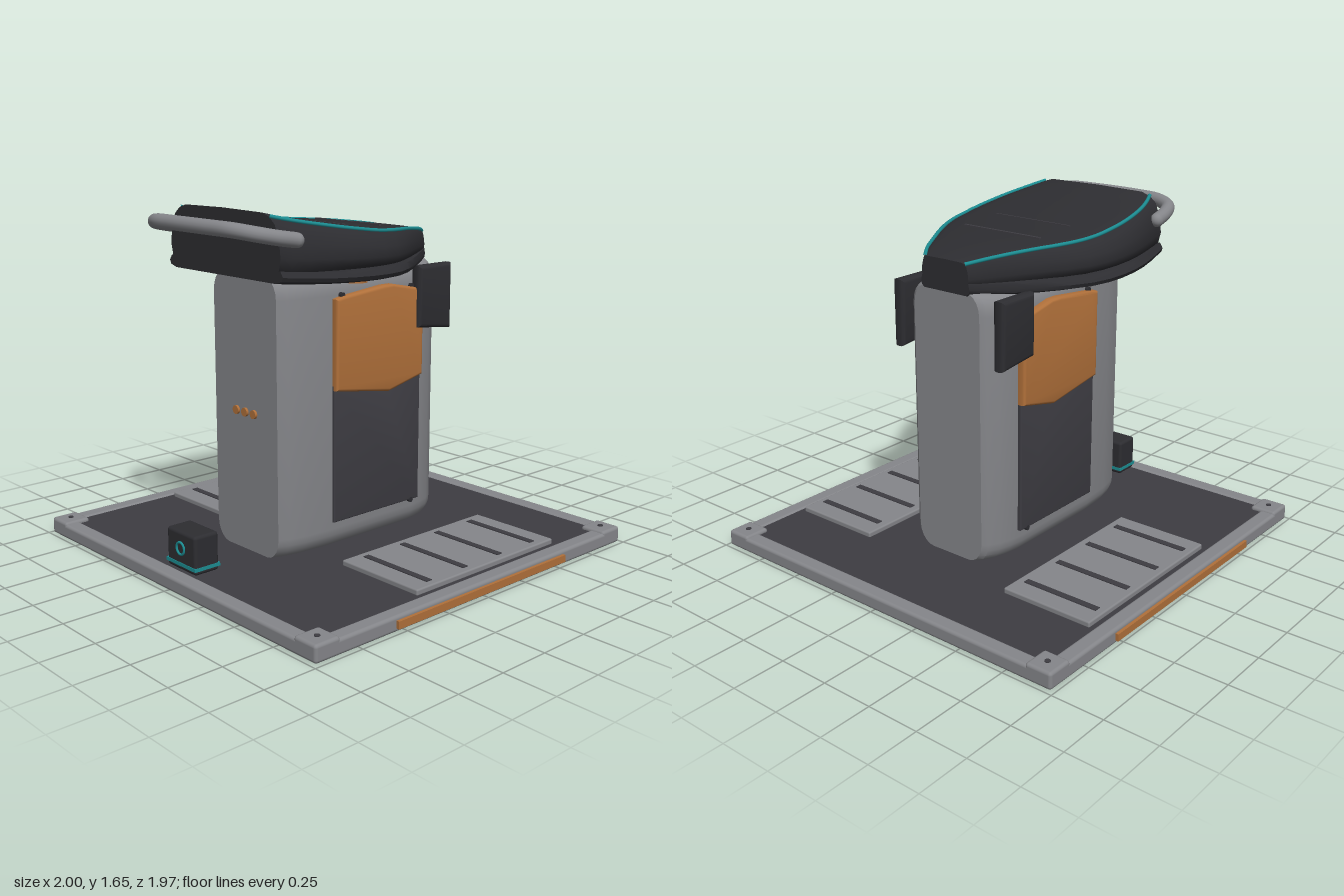
import * as THREE from 'three';
import { toCreasedNormals } from 'three/addons/utils/BufferGeometryUtils.js';
import { RoundedBoxGeometry } from 'three/addons/geometries/RoundedBoxGeometry.js';

const material = (name, color) => {
  const m = new THREE.MeshStandardMaterial({ color });
  m.name = name;
  return m;
};

// Skin closed rings (counter-clockwise seen from +z) ordered from back to front, with end caps
function loft(rings, crease) {
  const n = rings[0].length, pos = [], idx = [];
  rings.forEach(r => r.forEach(p => pos.push(...p)));
  for (let i = 0; i < rings.length - 1; i++)
    for (let j = 0; j < n; j++) {
      const a = i * n + j, b = i * n + (j + 1) % n;
      idx.push(a, b, b + n, a, b + n, a + n);
    }
  [0, rings.length - 1].forEach(i => {
    const c = pos.length / 3, r = rings[i];
    const ys = r.map(p => p[1]);
    pos.push(0, (Math.min(...ys) + Math.max(...ys)) / 2, r[0][2]);
    for (let j = 0; j < n; j++) {
      const a = i * n + j, b = i * n + (j + 1) % n;
      if (i) idx.push(c, a, b); else idx.push(c, b, a);
    }
  });
  const g = new THREE.BufferGeometry();
  g.setAttribute('position', new THREE.Float32BufferAttribute(pos, 3));
  g.setIndex(idx);
  return toCreasedNormals(g, crease);
}

// Ring from its right half (bottom centre to top centre), mirrored across x = 0
const mirrorRing = (half, z) => [
  ...half.map(([x, y]) => [x, y, z]),
  ...half.slice(1, -1).reverse().map(([x, y]) => [-x, y, z]),
];

// Plate outlined in (z, y), centred on x = 0
function sidePlate(outline, thick, bevel) {
  const shape = new THREE.Shape(outline.map(p => new THREE.Vector2(...p)));
  const g = new THREE.ExtrudeGeometry(shape, {
    depth: thick - 2 * bevel, bevelEnabled: bevel > 0, bevelSize: bevel, bevelOffset: -bevel,
    bevelThickness: bevel, bevelSegments: 3,
  });
  g.translate(0, 0, -thick / 2 + bevel).rotateY(-Math.PI / 2);
  return toCreasedNormals(g, 0.6);
}

export function createModel() {
  const root = new THREE.Group();
  const grey = material('grey shell', 0x85868a);
  const dark = material('dark panel', 0x3d3c42);
  const black = material('black padding', 0x2d2d31);
  const orange = material('orange accent', 0xb0703a);
  const teal = material('teal trim', 0x1c8d92);

  const add = (name, geo, mat, x = 0, y = 0, z = 0) => {
    const m = new THREE.Mesh(geo, mat);
    m.name = name;
    m.position.set(x, y, z);
    root.add(m);
    return m;
  };
  const box = (w, h, d) => new THREE.BoxGeometry(w, h, d);
  const rbox = (w, h, d, r) => new RoundedBoxGeometry(w, h, d, 3, r);
  const sides = [-1, 1];

  // Base platform
  add('deck', box(1.86, 0.05, 1.86), dark, 0, 0.04, 0);
  add('underside', box(1.94, 0.012, 1.94), black, 0, 0.006, 0);
  for (const s of sides) {
    add('sideRail', rbox(0.08, 0.07, 1.97, 0.015), grey, s * 0.945, 0.037, 0);
    add('endRail', rbox(1.97, 0.07, 0.08, 0.015), grey, 0, 0.037, s * 0.945);
    add('railStripe', box(0.03, 0.034, 1.09), orange, s * 0.985, 0.037, 0.005);
    for (const t of sides) {
      add('cornerBlock', rbox(0.132, 0.078, 0.132, 0.015), grey, s * 0.919, 0.043, t * 0.919);
      add('cornerBolt', new THREE.CylinderGeometry(0.013, 0.013, 0.006, 12), dark, s * 0.919, 0.083, t * 0.919);
    }
    // Foot pads with grip slots
    add('footPad', rbox(0.465, 0.03, 0.915, 0.008), grey, s * 0.652, 0.075, -0.132);
    for (let i = 0; i < 4; i++)
      add('gripSlot', box(0.39, 0.008, 0.032), dark, s * 0.655, 0.09, -0.48 + i * 0.232);
  }

  // Column: rounded outline, narrowing towards both ends
  const columnSections = [
    [-0.47, 0.19], [-0.45, 0.215], [-0.4, 0.243], [-0.34, 0.26], [-0.27, 0.27],
    [0.25, 0.27], [0.4, 0.258], [0.48, 0.24], [0.53, 0.22],
  ];
  add('column', loft(columnSections.map(([z, w]) => {
    const half = [[0, 0.075]], rx = 0.08, ry = 0.1;
    for (const [cy, a0] of [[0.075 + ry, -Math.PI / 2], [1.36 - ry, 0]])
      for (let k = 0; k <= 5; k++) {
        const a = a0 + k * Math.PI / 10;
        half.push([w - rx + rx * Math.cos(a), cy + ry * Math.sin(a)]);
      }
    half.push([0, 1.36]);
    return mirrorRing(half, z);
  }), 0.5), grey);

  // Column side panels, rear fins and under-seat knobs
  const lower = [[-0.3, 0.21], [0.25, 0.21], [0.25, 0.85], [-0.08, 0.8], [-0.3, 0.85]];
  const upper = [[-0.3, 0.83], [-0.08, 0.78], [0.25, 0.83], [0.25, 1.245], [0.2, 1.255],
    [-0.04, 1.28], [-0.1, 1.28], [-0.25, 1.25], [-0.3, 1.24]];
  const fin = [[-0.47, 1.035], [-0.25, 1.06], [-0.25, 1.35], [-0.47, 1.35]];
  for (const s of sides) {
    add('lowerPanel', sidePlate(lower, 0.04, 0.006), dark, s * 0.265);
    add('upperPanel', sidePlate(upper, 0.06, 0.014), orange, s * 0.275);
    add('rearFin', sidePlate(fin, 0.062, 0.02), black, s * 0.294);
    add('seatKnob', new THREE.CylinderGeometry(0.052, 0.052, 0.04, 24), orange, s * 0.31, 1.335, 0.145);
    for (const [z, y] of [[0.2, 1.258], [-0.24, 1.255], [-0.25, 0.21]])
      add('panelScrew', new THREE.CylinderGeometry(0.013, 0.013, 0.03, 12).rotateZ(Math.PI / 2), black, s * 0.272, y, z);
  }
  for (let i = -1; i <= 1; i++)
    add('frontButton', new THREE.CylinderGeometry(0.02, 0.02, 0.024, 20).rotateX(Math.PI / 2), orange, i * 0.062, 0.73, 0.53);

  // Seat sections: z, lip half-width, trim half-width, top height, lip bottom
  const seat = [
    [-0.475, 0.14, 0.115, 1.49, 1.345], [-0.4, 0.195, 0.17, 1.508, 1.34], [-0.3, 0.265, 0.225, 1.522, 1.335],
    [-0.2, 0.335, 0.28, 1.533, 1.333], [-0.1, 0.4, 0.33, 1.54, 1.332], [0, 0.45, 0.368, 1.547, 1.332],
    [0.1, 0.473, 0.388, 1.556, 1.333], [0.2, 0.48, 0.396, 1.57, 1.335], [0.3, 0.475, 0.395, 1.585, 1.338],
    [0.4, 0.46, 0.385, 1.602, 1.342], [0.5, 0.437, 0.365, 1.62, 1.348], [0.58, 0.415, 0.34, 1.637, 1.354],
    [0.64, 0.4, 0.315, 1.652, 1.36],
  ];
  const base = 1.385;
  add('seatPad', loft(seat.map(([z, w, t, top]) => {
    const p = w * 0.965, h = f => base + f * (top - base);
    return mirrorRing([[0, base], [0.9 * p, base], [0.97 * p, h(0.12)], [p, h(0.3)], [0.98 * p, h(0.55)],
      [(p + t) / 2, h(0.82)], [t, h(0.93)], [0.85 * t, h(0.985)], [0, h(1)]], z);
  }), 0.8), black);
  add('seatLip', loft(seat.map(([z, w, , , b]) => mirrorRing(
    [[0, b], [0.88 * w, b], [0.98 * w, b + 0.012], [w, b + 0.03], [0.96 * w, b + 0.055], [0.85 * w, 1.4], [0, 1.4]], z,
  )), 0.8), black);

  // Trim piping along both seat edges
  for (const s of sides) {
    const path = new THREE.CatmullRomCurve3(seat.map(([z, , t, top]) =>
      new THREE.Vector3(s * t, base + 0.94 * (top - base), z)));
    add('seatPiping', new THREE.TubeGeometry(path, 48, 0.009, 8), teal);
  }
  // Seat cross seams
  add('seatSeam', box(0.44, 0.014, 0.014), dark, 0, 1.54, -0.09);
  add('frontSeam', box(0.44, 0.006, 0.008), dark, 0, 1.56, 0.13);

  // Front grab handle
  const handleHalf = [[0.405, 1.54, 0.57], [0.39, 1.555, 0.66], [0.355, 1.572, 0.74], [0.27, 1.585, 0.79], [0.14, 1.588, 0.805]];
  const handlePath = new THREE.CatmullRomCurve3([
    ...handleHalf.map(([x, y, z]) => new THREE.Vector3(-x, y, z)),
    ...handleHalf.slice().reverse().map(p => new THREE.Vector3(...p)),
  ]);
  add('grabHandle', new THREE.TubeGeometry(handlePath, 64, 0.033, 16), grey);
  for (const s of sides)
    add('handleEnd', new THREE.SphereGeometry(0.033, 16, 10), grey, s * 0.405, 1.54, 0.57);

  // Front sensor box
  add('sensorBox', rbox(0.21, 0.18, 0.13, 0.015), black, 0, 0.162, 0.84);
  add('sensorBand', box(0.216, 0.016, 0.136), teal, 0, 0.1, 0.84);
  add('sensorRing', new THREE.TorusGeometry(0.028, 0.006, 8, 32), teal, 0, 0.175, 0.907);

  return root;
}
